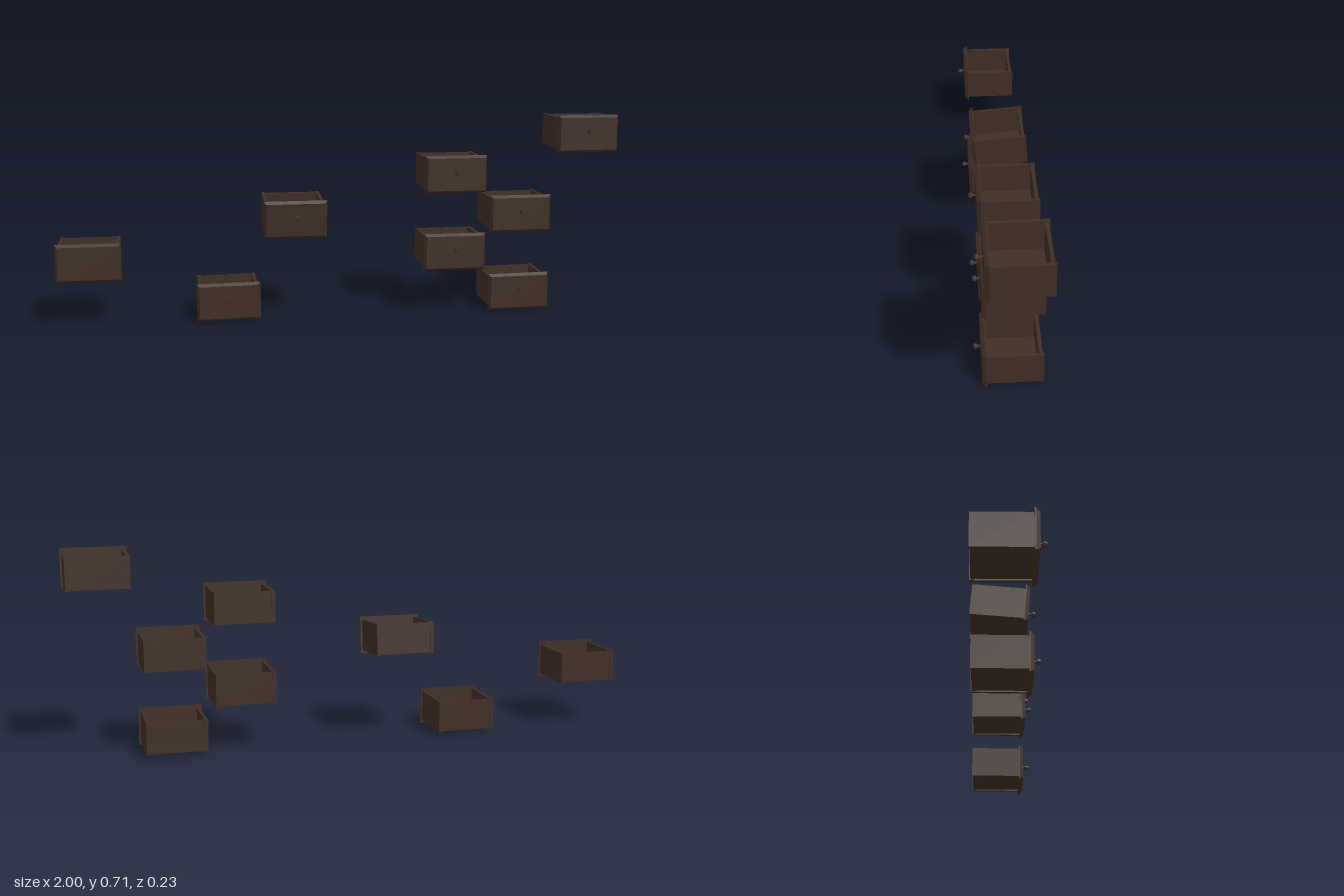
import * as THREE from 'three';

const wood = new THREE.MeshStandardMaterial({ color: 0x3f2e24 });
wood.name = 'dark brown wood';

function part(name, geometry, x = 0, y = 0, z = 0) {
  const mesh = new THREE.Mesh(geometry, wood);
  mesh.name = name;
  mesh.position.set(x, y, z);
  return mesh;
}

function faceted(geometry) {
  const flat = geometry.toNonIndexed();
  flat.computeVertexNormals();
  return flat;
}

// Front board: full size at the back, chamfered towards the front face
function frontBoardGeometry() {
  const geometry = new THREE.BoxGeometry(0.224, 0.134, 0.016, 1, 1, 2);
  const p = geometry.attributes.position;
  for (let i = 0; i < p.count; i++) {
    if (p.getZ(i) > 0.001) {
      p.setX(i, p.getX(i) - Math.sign(p.getX(i)) * 0.009);
      p.setY(i, p.getY(i) - Math.sign(p.getY(i)) * 0.009);
    } else if (p.getZ(i) > -0.001) {
      p.setZ(i, -0.004);
    }
  }
  return faceted(geometry);
}

// Knob: thin neck flaring into a faceted head, pointing along +z
function knobGeometry() {
  const profile = [[0.007, 0], [0.0045, 0.006], [0.0045, 0.01], [0.0095, 0.014], [0.0095, 0.02], [0.007, 0.025], [0, 0.025]]
    .map(([r, h]) => new THREE.Vector2(r, h));
  return faceted(new THREE.LatheGeometry(profile, 8).rotateX(Math.PI / 2));
}

const geometries = {
  front: frontBoardGeometry(),
  knob: knobGeometry(),
  side: new THREE.BoxGeometry(0.012, 0.112, 0.185),
  back: new THREE.BoxGeometry(0.186, 0.108, 0.012),
  floor: new THREE.BoxGeometry(0.186, 0.008, 0.18),
};

function makeDrawer() {
  const drawer = new THREE.Group();
  drawer.name = 'drawer';
  drawer.add(part('frontBoard', geometries.front, 0, 0, 0.085));
  drawer.add(part('knob', geometries.knob, 0, 0.011, 0.0925));
  for (const s of [1, -1]) {
    drawer.add(part(s > 0 ? 'leftWall' : 'rightWall', geometries.side, s * 0.099, 0, -0.0135));
  }
  drawer.add(part('backWall', geometries.back, 0, 0, -0.096));
  drawer.add(part('floor', geometries.floor, 0, -0.047, -0.0125));
  return drawer;
}

export function createModel() {
  const model = new THREE.Group();
  model.name = 'drawers';
  // x, y, z, tilt about x, roll about z
  const placements = [
    [-0.888, 0.222, -0.002, 0, 0],
    [-0.408, 0.069, 0, 0.006, 0.012],
    [-0.17, 0.361, -0.004, 0.08, 0],
    [0.403, 0.504, 0.001, 0.008, 0],
    [0.403, 0.222, 0, 0, 0],
    [0.643, 0.356, 0, 0, 0],
    [0.643, 0.069, 0, 0.006, 0.008],
    [0.886, 0.641, 0.001, 0.006, 0],
  ];
  for (const [x, y, z, tilt, roll] of placements) {
    const drawer = makeDrawer();
    drawer.position.set(x, y, z);
    drawer.rotation.set(tilt, 0, roll);
    model.add(drawer);
  }
  return model;
}
